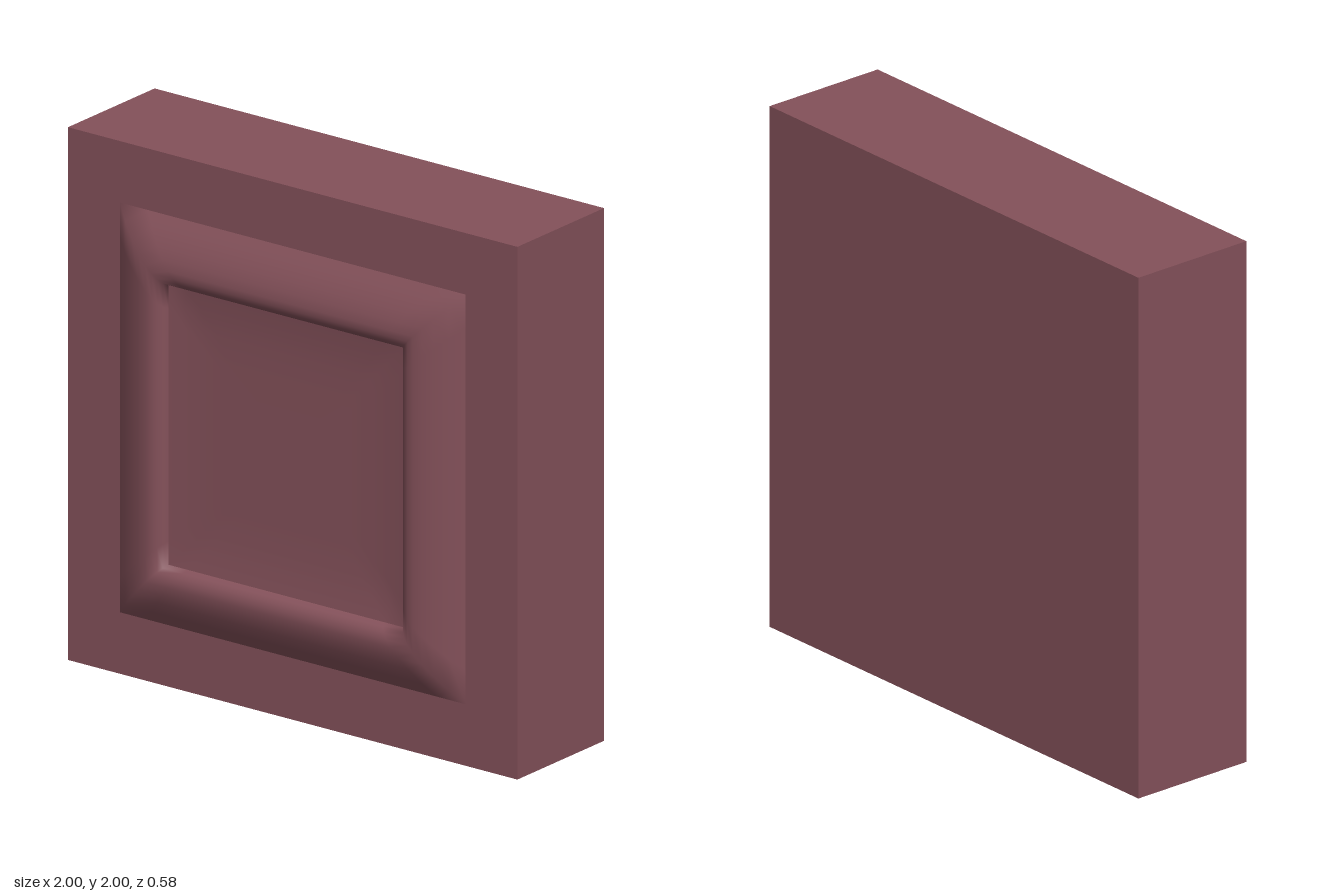
import * as THREE from 'three';

const SEGMENTS = 12; // subdivisions along each side of a square ring

// Point on a square ring of half-size h, running counter-clockwise
function squarePoint(i, h) {
  const side = Math.floor(i / SEGMENTS) % 4;
  const t = -1 + (2 * (i % SEGMENTS)) / SEGMENTS;
  const [x, y] = [[t, -1], [1, t], [-t, 1], [-1, -t]][side];
  return [x * h, y * h];
}

// Loft square rings given as [half-size, z], from the outside inwards
function squareLoft(profile) {
  const n = SEGMENTS * 4;
  const positions = [];
  const indices = [];
  for (const [h, z] of profile) {
    for (let i = 0; i < n; i++) positions.push(...squarePoint(i, h), z);
  }
  for (let r = 0; r < profile.length - 1; r++) {
    for (let i = 0; i < n; i++) {
      const j = (i + 1) % n;
      const a = r * n + i, b = r * n + j;
      const c = b + n, d = a + n;
      indices.push(a, b, c);
      if (profile[r + 1][0] > 0) indices.push(a, c, d); // no second triangle at the centre
    }
  }
  const geometry = new THREE.BufferGeometry();
  geometry.setAttribute('position', new THREE.Float32BufferAttribute(positions, 3));
  geometry.setIndex(indices);
  geometry.computeVertexNormals();
  return geometry;
}

export function createModel() {
  const group = new THREE.Group();
  group.name = 'wallPanelBlock';
  const material = new THREE.MeshStandardMaterial({ color: 0x84515a });

  function add(name, geometry, y, z = 0) {
    const mesh = new THREE.Mesh(geometry, material);
    mesh.name = name;
    mesh.position.set(0, y, z);
    group.add(mesh);
  }

  // Square slab
  add('slab', new THREE.BoxGeometry(2, 2, 0.5), 1, -0.04);

  // Rounded moulding: gentle outer slope, steep inner lip
  add('moulding', squareLoft([
    [0.772, 0.208], [0.72, 0.243], [0.67, 0.268], [0.63, 0.282], [0.595, 0.289],
    [0.57, 0.287], [0.55, 0.279], [0.535, 0.266], [0.525, 0.247],
  ]), 1);

  // Slightly dished panel inside the moulding
  add('innerPanel', squareLoft([
    [0.525, 0.247], [0.46, 0.239], [0.38, 0.234], [0.28, 0.232], [0, 0.232],
  ]), 1);

  return group;
}
